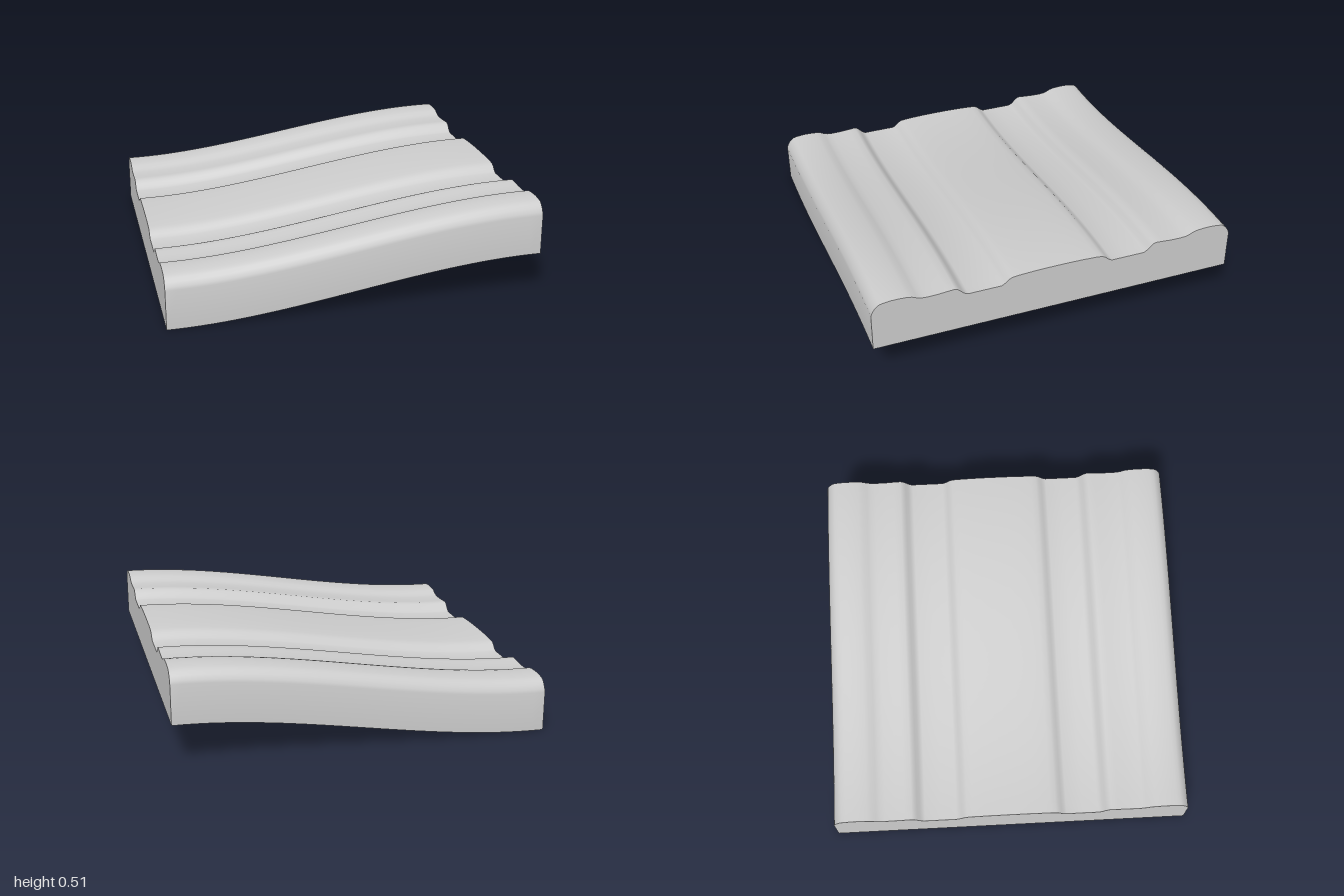
import * as THREE from 'three';
import { toCreasedNormals } from 'three/addons/utils/BufferGeometryUtils.js';

const RISE = 0.227;

// Half of the top profile, from the outer edge to the middle: [distance from centre, height]
const HALF = [
  [1, 0.215], [0.995, 0.232], [0.982, 0.254], [0.967, 0.27], [0.953, 0.279], [0.93, 0.284],
  [0.89, 0.288], [0.85, 0.288], [0.81, 0.285], [0.785, 0.28], [0.76, 0.268], [0.74, 0.261],
  [0.71, 0.258], [0.65, 0.259], [0.6, 0.263], [0.56, 0.266], [0.545, 0.26], [0.53, 0.247],
  [0.515, 0.231], [0.5, 0.22], [0.488, 0.217], [0.4, 0.217], [0.31, 0.217], [0.298, 0.222],
  [0.282, 0.234], [0.267, 0.248], [0.25, 0.256], [0.22, 0.26], [0.14, 0.264], [0.06, 0.266],
];

export function createModel() {
  const group = new THREE.Group();
  group.name = 'rampTile';
  const stone = new THREE.MeshStandardMaterial({ color: 0xcccccc });
  stone.name = 'light grey';

  // Cross-section: flat base, upright sides, mirrored ridges and grooves on top
  const points = [[-1, 0], [1, 0], ...HALF, ...HALF.map(([u, y]) => [-u, y]).reverse()];
  const section = new THREE.Shape(points.map(([u, y]) => new THREE.Vector2(u, y)));

  // Run the section along x and lift it in an S-curve
  const geometry = new THREE.ExtrudeGeometry(section, { depth: 2, steps: 32, bevelEnabled: false });
  geometry.rotateY(Math.PI / 2).translate(-1, 0, 0);
  const p = geometry.attributes.position;
  for (let i = 0; i < p.count; i++) {
    p.setY(i, p.getY(i) + RISE * THREE.MathUtils.smoothstep(p.getX(i), -1, 1));
  }

  const slope = new THREE.Mesh(toCreasedNormals(geometry, Math.PI / 4), stone);
  slope.name = 'groovedSlope';
  group.add(slope);
  return group;
}
